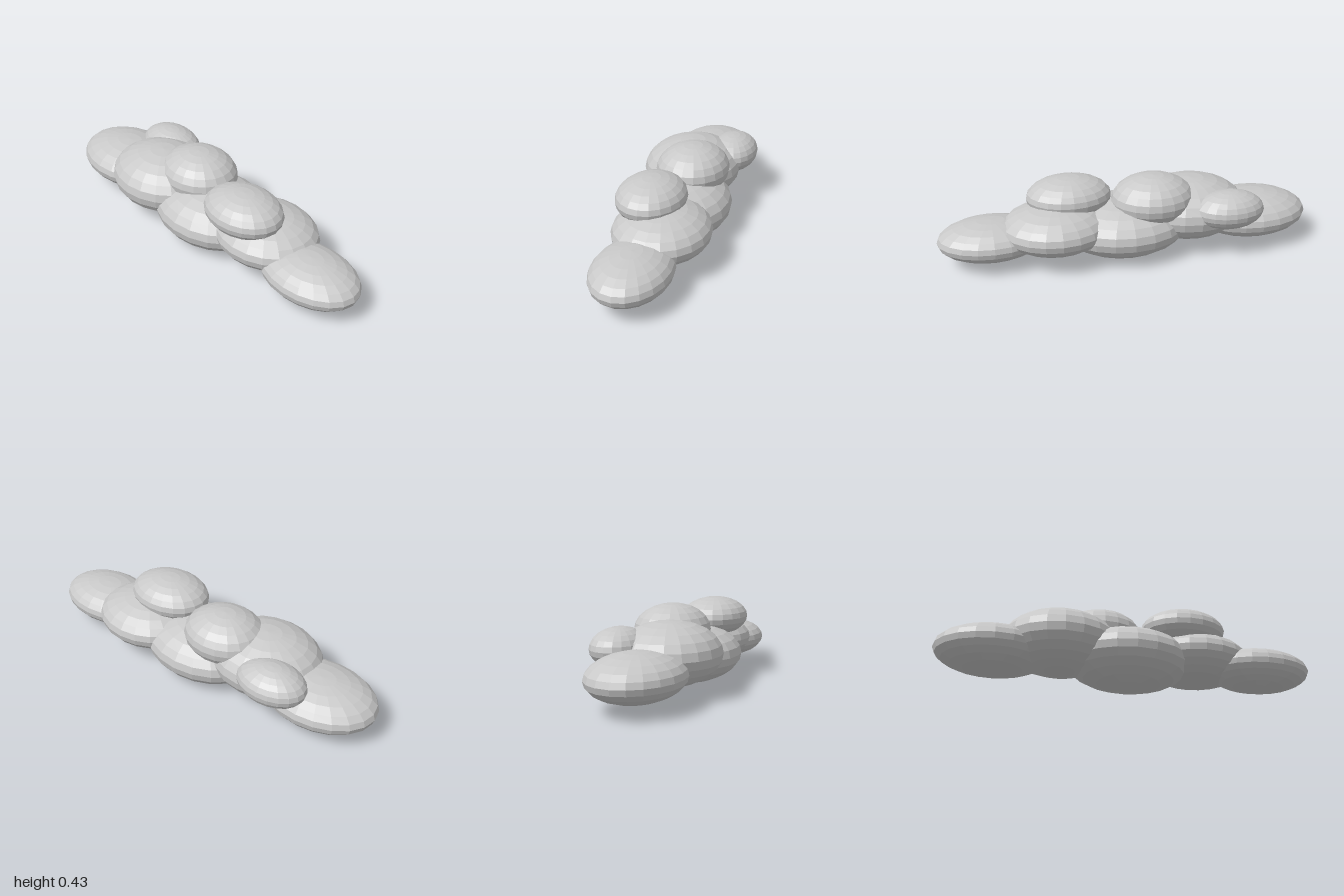
import * as THREE from 'three';

// Each puff: name, centre [x, y, z], radii [x, y, z]
const PUFFS = [
  ['rightEndPuff', [-0.69, 0.155, 0.0], [0.31, 0.118, 0.232]],
  ['rightPuff', [-0.35, 0.21, 0.03], [0.305, 0.163, 0.265]],
  ['centrePuff', [0.015, 0.153, 0.002], [0.34, 0.153, 0.278]],
  ['leftPuff', [0.385, 0.188, -0.023], [0.288, 0.128, 0.25]],
  ['leftEndPuff', [0.717, 0.141, 0.017], [0.281, 0.105, 0.197]],
  ['upperCentrePuff', [-0.132, 0.3, -0.033], [0.222, 0.133, 0.195]],
  ['upperLeftPuff', [0.3, 0.32, 0.058], [0.225, 0.107, 0.178]],
  ['upperBackPuff', [-0.51, 0.255, -0.165], [0.19, 0.1, 0.136]],
];

export function createModel() {
  const cloud = new THREE.Group();
  cloud.name = 'cloud';
  const cloudGrey = new THREE.MeshStandardMaterial({ color: 0xc8c8c8, flatShading: true });
  cloudGrey.name = 'cloudGrey';

  // Faceted ellipsoids overlapping into one cloud
  for (const [name, centre, radii] of PUFFS) {
    const geometry = new THREE.SphereGeometry(1, 20, 12);
    geometry.scale(...radii);
    const puff = new THREE.Mesh(geometry, cloudGrey);
    puff.name = name;
    puff.position.set(...centre);
    cloud.add(puff);
  }
  return cloud;
}
